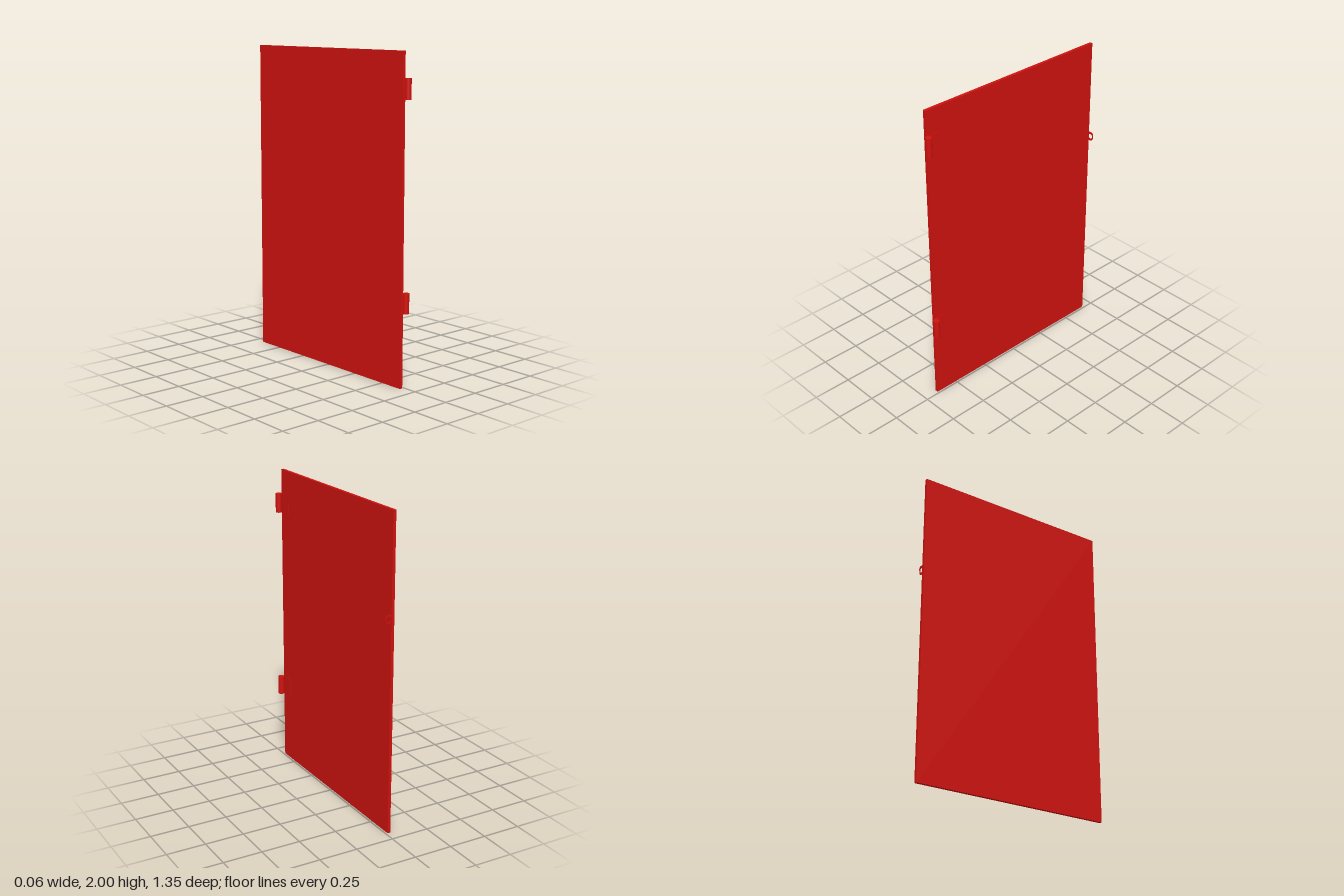
import * as THREE from 'three';

const material = new THREE.MeshStandardMaterial({ color: 0xd0120e });
const FACE = -0.0125; // x of the panel's inner face

function add(parent, name, geometry, x = 0, y = 0, z = 0) {
  const mesh = new THREE.Mesh(geometry, material);
  mesh.name = name;
  mesh.position.set(x, y, z);
  parent.add(mesh);
  return mesh;
}

// Barrel tangent to the panel face, with a thin leaf lying on the panel
function createHinge(y) {
  const hinge = new THREE.Group();
  hinge.name = 'hinge';
  hinge.position.y = y;
  add(hinge, 'hingeBarrel', new THREE.CylinderGeometry(0.02, 0.02, 0.124, 24), 0.008, 0, 0.657);
  add(hinge, 'hingeLeaf', new THREE.BoxGeometry(0.004, 0.124, 0.092), FACE + 0.001, 0, 0.61);
  return hinge;
}

// Rounded tab, straight on the left and rounded on the right
function tabShape(width, height, radius) {
  const h = height / 2;
  const shape = new THREE.Shape();
  shape.moveTo(0, -h);
  shape.lineTo(width - radius, -h);
  shape.absarc(width - radius, -h + radius, radius, -Math.PI / 2, 0);
  shape.absarc(width - radius, h - radius, radius, 0, Math.PI / 2);
  shape.lineTo(0, h);
  shape.closePath();
  return shape;
}

// Bent bracket: an eye plate standing off the panel and a flange fixed to it
function createLatch() {
  const latch = new THREE.Group();
  latch.name = 'latch';
  latch.position.set(FACE, 1.364, -0.671);
  latch.rotation.x = -0.1;
  const settings = { depth: 0.004, bevelEnabled: false, curveSegments: 10 };

  const eye = tabShape(0.04, 0.056, 0.018);
  const hole = new THREE.Path();
  hole.absarc(0.019, 0, 0.016, 0, Math.PI * 2, true);
  eye.holes.push(hole);
  add(latch, 'latchEye', new THREE.ExtrudeGeometry(eye, settings), 0, 0, -0.002);

  const flange = add(latch, 'latchFlange',
    new THREE.ExtrudeGeometry(tabShape(0.042, 0.056, 0.018), settings), -0.001, 0, -0.002);
  flange.rotation.y = -Math.PI / 2;
  flange.position.x = 0.003;
  return latch;
}

export function createModel() {
  const door = new THREE.Group();
  door.name = 'door';
  add(door, 'panel', new THREE.BoxGeometry(0.0195, 2, 1.332), FACE - 0.00975, 1, -0.011);
  for (const y of [0.518, 1.782]) door.add(createHinge(y));
  door.add(createLatch());
  return door;
}
